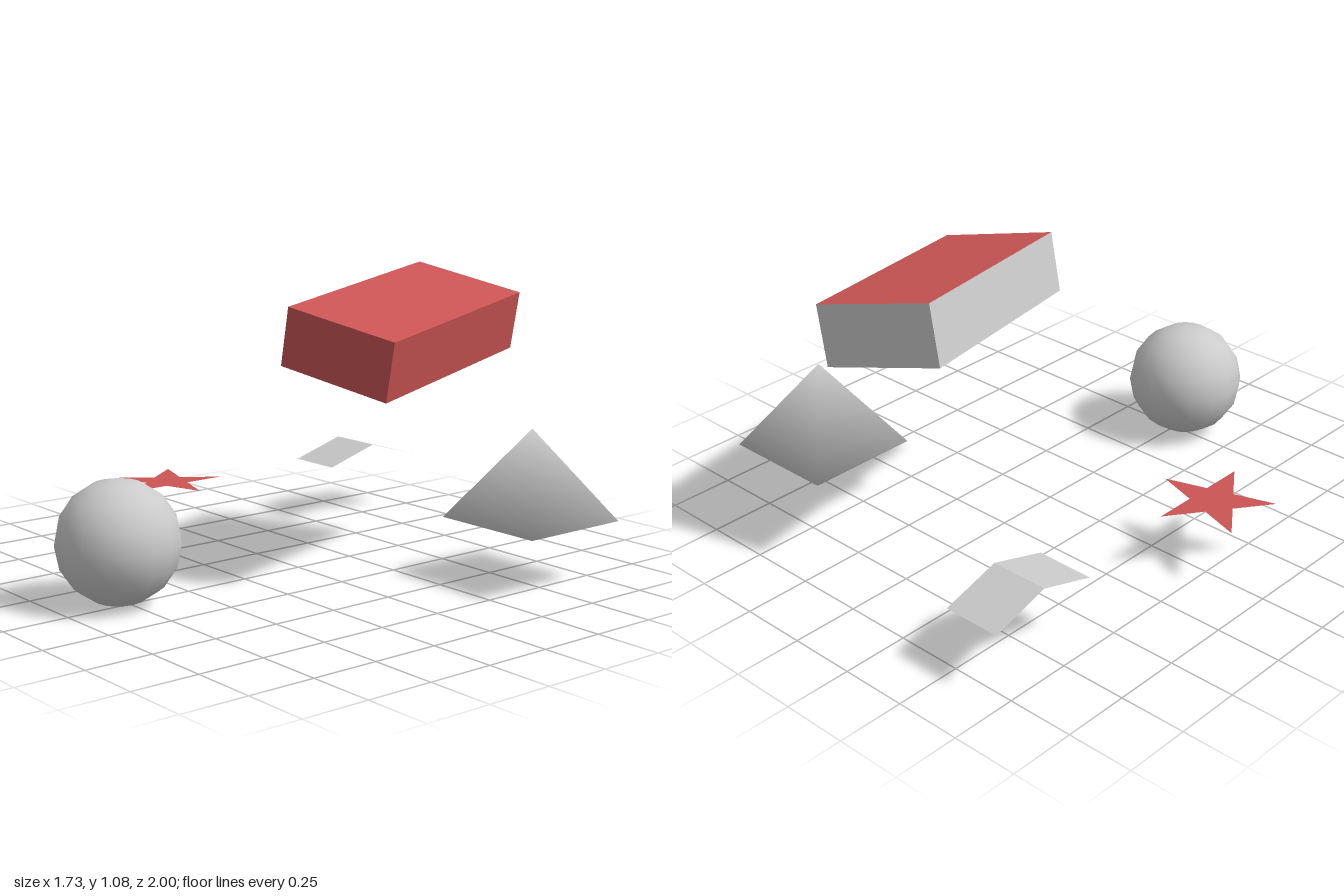
import * as THREE from 'three';

const U = 0.2222; // base unit, also the height of the common level
const grey = new THREE.MeshStandardMaterial({ color: 0xcccccc });
const greySheet = new THREE.MeshStandardMaterial({ color: 0xcccccc, side: THREE.DoubleSide });
const red = new THREE.MeshStandardMaterial({ color: 0xcc5555 });
const redSheet = new THREE.MeshStandardMaterial({ color: 0xcc5555, side: THREE.DoubleSide });

function part(name, geometry, material, x, y, z) {
  const mesh = new THREE.Mesh(geometry, material);
  mesh.name = name;
  mesh.position.set(x, y, z);
  return mesh;
}

// Square pyramid with shared, smoothed corners
function pyramidGeometry(half, height) {
  const points = [[-1, 1], [1, 1], [1, -1], [-1, -1]];
  const pos = [], nor = [];
  for (const [x, z] of points) {
    pos.push(x * half, 0, z * half);
    nor.push(x * 0.67, -0.31, z * 0.67);
  }
  pos.push(0, height, 0);
  nor.push(0, 1, 0);
  const index = [0, 2, 1, 0, 3, 2];
  for (let i = 0; i < 4; i++) index.push(i, (i + 1) % 4, 4);
  const g = new THREE.BufferGeometry();
  g.setAttribute('position', new THREE.Float32BufferAttribute(pos, 3));
  g.setAttribute('normal', new THREE.Float32BufferAttribute(nor, 3));
  g.setIndex(index);
  return g;
}

// Open sheet folded along its middle into a shallow ridge
function foldedGeometry(width, length, rise) {
  const g = new THREE.PlaneGeometry(width, length, 1, 2).rotateX(-Math.PI / 2);
  const p = g.attributes.position;
  for (let i = 0; i < p.count; i++) {
    p.setY(i, rise * (1 - Math.abs(p.getZ(i)) / (length / 2)));
  }
  const flat = g.toNonIndexed();
  flat.computeVertexNormals();
  return flat;
}

// Flat five-pointed star, one tip towards +x
function starGeometry(radius) {
  const pts = [];
  for (let i = 0; i < 10; i++) {
    const r = i % 2 ? radius * 0.382 : radius;
    const a = (i * Math.PI) / 5;
    pts.push(new THREE.Vector2(r * Math.cos(a), r * Math.sin(a)));
  }
  return new THREE.ShapeGeometry(new THREE.Shape(pts)).rotateX(-Math.PI / 2);
}

export function createModel() {
  const model = new THREE.Group();
  model.name = 'shapes';

  model.add(part('sphere', new THREE.SphereGeometry(U, 16, 8), grey, -0.022, U, 0.778));
  model.add(part('pyramid', pyramidGeometry(U, 1.5 * U), grey, 0.644, U, -0.556));
  model.add(part('foldedSheet', foldedGeometry(U, 2 * U, 0.067), greySheet, -0.578, U, -0.778));
  model.add(part('star', starGeometry(U), redSheet, -0.689, U, 0.108));

  // Tilted block: left-hand long side and rear end grey, other faces red
  const block = part('block', new THREE.BoxGeometry(2 * U, U, 4 * U),
    [red, grey, red, red, red, grey], 0.2, 4 * U, -0.335);
  const zAxis = new THREE.Vector3(0.245, -0.085, 0.855).normalize();
  const yAxis = zAxis.clone().cross(new THREE.Vector3(0.41, -0.09, -0.13)).normalize();
  const xAxis = yAxis.clone().cross(zAxis);
  block.quaternion.setFromRotationMatrix(new THREE.Matrix4().makeBasis(xAxis, yAxis, zAxis));
  model.add(block);

  return model;
}
